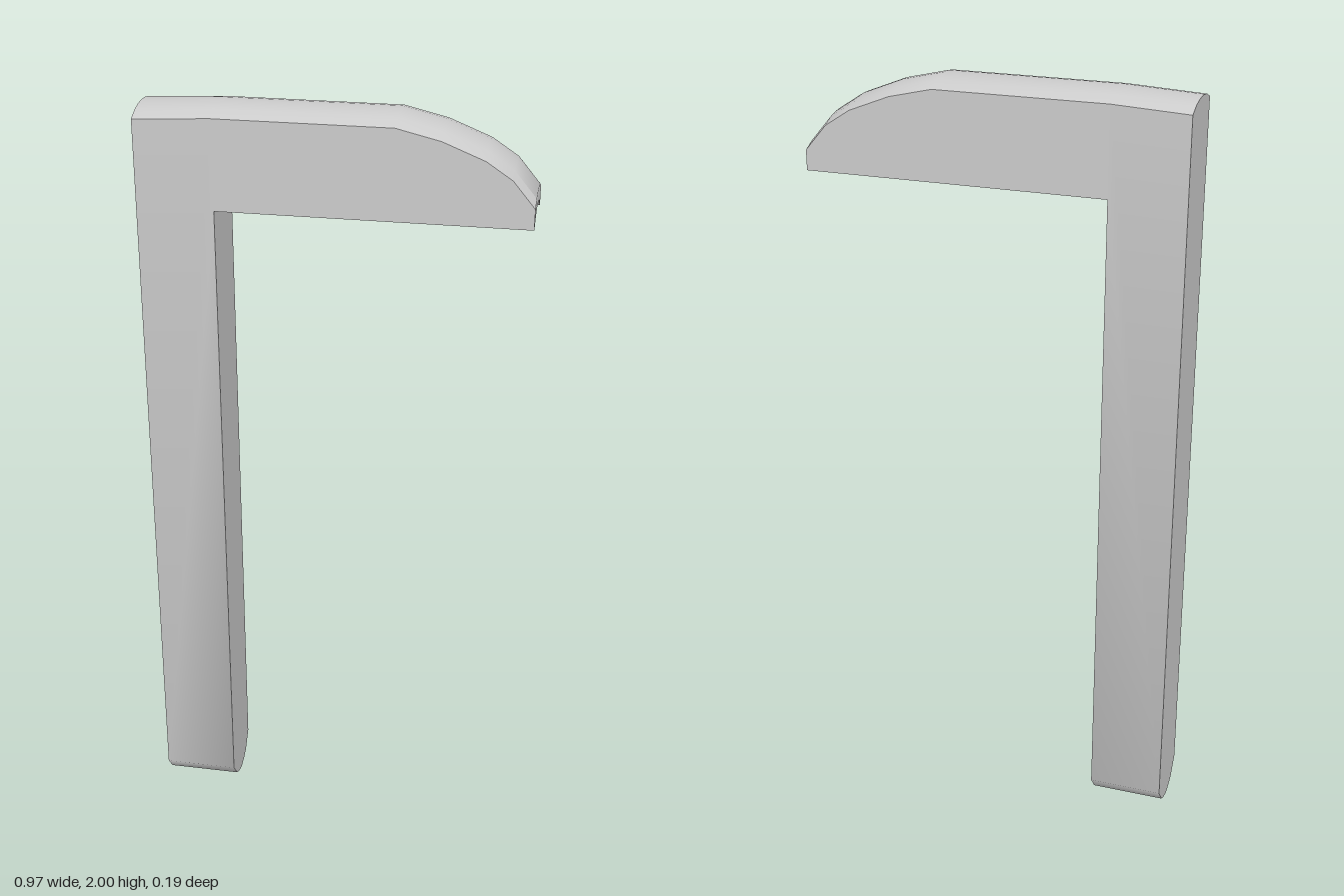
import * as THREE from 'three';
import { toCreasedNormals } from 'three/addons/utils/BufferGeometryUtils.js';

// Half of the cross-section: [z, drop of the top, rise of the arm's groove, rise of the leg's foot]
const HALF = [
  [0, 0, 0.035, 0],
  [0.03, 0.002, 0.034, 0.007],
  [0.057, 0.007, 0.024, 0.02],
  [0.093, 0.021, 0, 0.064],
];

// Side outline of leg and arm, counterclockwise, for one slice across the width
function outline([z, drop, groove, foot]) {
  const top = [
    [0.485, 1.823], [0.43, 1.889], [0.365, 1.932], [0.26, 1.974],
    [0.15, 2], [-0.29, 2], [-0.485, 1.99],
  ].map(([x, y]) => [x, y - drop]);
  return [
    [-0.485, foot], [-0.29, foot],
    [-0.29, 1.75 + groove], [0.485, 1.75 + groove],
    ...top,
  ].map(([x, y]) => new THREE.Vector3(x, y, z));
}

function bracketGeometry() {
  const mirrored = HALF.slice(1).reverse().map(([z, ...rest]) => [-z, ...rest]);
  const slices = [...mirrored, ...HALF].map(outline);
  const n = slices[0].length;
  const positions = slices.flat().flatMap((p) => p.toArray());
  const index = [];

  // Rim: top, tip, groove, leg and foot surfaces
  for (let k = 0; k < slices.length - 1; k++) {
    for (let i = 0; i < n; i++) {
      const j = (i + 1) % n;
      const a = k * n + i, b = k * n + j, c = b + n, d = a + n;
      index.push(a, b, c, a, c, d);
    }
  }

  // Flat front and back faces
  const last = (slices.length - 1) * n;
  const flat = slices[0].map((p) => new THREE.Vector2(p.x, p.y));
  for (const [a, b, c] of THREE.ShapeUtils.triangulateShape(flat, [])) {
    index.push(last + a, last + b, last + c, a, c, b);
  }

  const geometry = new THREE.BufferGeometry();
  geometry.setAttribute('position', new THREE.Float32BufferAttribute(positions, 3));
  geometry.setIndex(index);
  return toCreasedNormals(geometry, THREE.MathUtils.degToRad(41));
}

export function createModel() {
  const group = new THREE.Group();
  group.name = 'bracket';
  const material = new THREE.MeshStandardMaterial({ color: 0xcccccc });
  const mesh = new THREE.Mesh(bracketGeometry(), material);
  mesh.name = 'legAndArm';
  group.add(mesh);
  return group;
}
